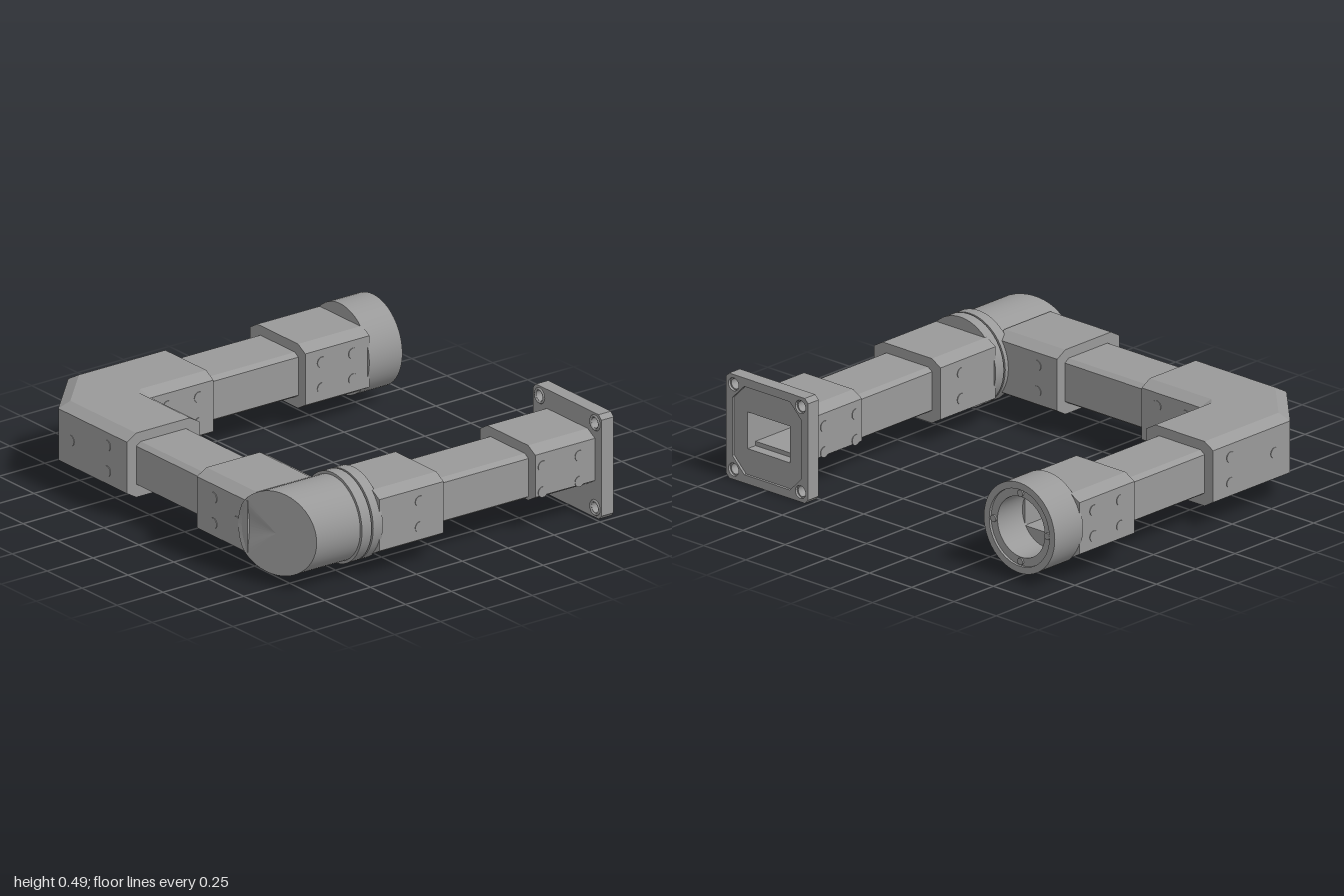
import * as THREE from 'three';
import { toCreasedNormals } from 'three/addons/utils/BufferGeometryUtils.js';

const CY = 0.25; // height of the duct centreline

export function createModel() {
  const model = new THREE.Group();
  model.name = 'waveguideAssembly';
  const grey = new THREE.MeshStandardMaterial({ color: 0x999999 });
  grey.name = 'grey metal';

  const add = (name, geo, x = 0, y = 0, z = 0) => {
    const m = new THREE.Mesh(geo, grey);
    m.name = name;
    m.position.set(x, y, z);
    model.add(m);
    return m;
  };

  // closed path from a list of corner points
  const trace = (path, pts) => {
    pts.forEach(([x, y], i) => (i ? path.lineTo(x, y) : path.moveTo(x, y)));
    path.closePath();
    return path;
  };
  const chamferRect = (w, h, cx, cy) => {
    const a = w / 2, b = h / 2;
    return [[-a + cx, -b], [a - cx, -b], [a, -b + cy], [a, b - cy],
      [a - cx, b], [-a + cx, b], [-a, b - cy], [-a, -b + cy]];
  };
  const boreRect = (w, h, dy = 0) => trace(new THREE.Path(),
    [[-w / 2, -h / 2 + dy], [-w / 2, h / 2 + dy], [w / 2, h / 2 + dy], [w / 2, -h / 2 + dy]]);

  // hollow chamfered duct along z, from 0 to len
  const duct = (w, h, len, cx, cy, dy = 0) => {
    const s = trace(new THREE.Shape(), chamferRect(w, h, cx, cy));
    s.holes.push(boreRect(0.25, 0.14, dy));
    return new THREE.ExtrudeGeometry(s, { depth: len, bevelEnabled: false });
  };
  const tube = len => duct(0.295, 0.21, len, 0.024, 0.016);
  const sleeve = len => duct(0.395, 0.3, len, 0.052, 0.03);

  // left arm
  const LX = -0.792, RX = 0.747;
  add('leftSleeve', sleeve(0.35), LX, CY, -0.71);
  add('leftTube', tube(0.5), LX, CY, -0.36);

  // round end connector with a stepped bore
  const ring = [[0.14, 0], [0.21, 0], [0.21, 0.18], [0.178, 0.18], [0.178, 0.168],
    [0.14, 0.168], [0.14, 0]].map(p => new THREE.Vector2(...p));
  const collar = new THREE.LatheGeometry(ring, 48);
  collar.rotateX(-Math.PI / 2);
  add('roundConnector', toCreasedNormals(collar, 0.6), LX, CY, -0.7);
  for (let i = 0; i < 4; i++) {
    const pin = new THREE.CylinderGeometry(0.016, 0.016, 0.012, 12);
    pin.rotateX(Math.PI / 2);
    const a = i * Math.PI / 2;
    add('connectorPin', pin, LX + 0.159 * Math.cos(a), CY + 0.159 * Math.sin(a), -0.87);
  }

  // mitred elbow: sections run from outer wall to inner wall
  const sections = [
    { out: [-0.99, 0.14], inn: [-0.595, 0.14] },
    { out: [-0.99, 0.63], inn: [-0.595, 0.48] },
    { out: [-0.74, 0.875], inn: [-0.595, 0.48] },
    { out: [-0.25, 0.875], inn: [-0.25, 0.48] },
  ];
  const rows = sections.map(({ out, inn }) => chamferRect(1, 0.3, 0.13, 0.03).map(([u, y]) => [
    THREE.MathUtils.lerp(out[0], inn[0], u + 0.5), CY + y,
    THREE.MathUtils.lerp(out[1], inn[1], u + 0.5)]));
  const pos = [];
  const tri = (...p) => p.forEach(v => pos.push(...v));
  for (let i = 0; i < rows.length - 1; i++) {
    for (let k = 0; k < 8; k++) {
      const n = (k + 1) % 8, A = rows[i], B = rows[i + 1];
      tri(A[k], A[n], B[n]);
      tri(A[k], B[n], B[k]);
    }
  }
  for (let k = 1; k < 7; k++) {
    tri(rows[0][0], rows[0][k + 1], rows[0][k]);
    tri(rows[3][0], rows[3][k], rows[3][k + 1]);
  }
  const elbow = new THREE.BufferGeometry();
  elbow.setAttribute('position', new THREE.Float32BufferAttribute(pos, 3));
  elbow.computeVertexNormals();
  add('mitredElbow', elbow);

  // cross duct and the sleeve running into the round joint
  add('crossTube', tube(0.5), -0.25, CY, 0.676).rotation.y = Math.PI / 2;
  add('crossSleeve', sleeve(0.36), 0.25, CY, 0.677).rotation.y = Math.PI / 2;

  // round joint body with a slanted front cut
  const joint = new THREE.CylinderGeometry(0.195, 0.195, 0.46, 48, 1, false, -Math.PI / 2);
  joint.rotateX(Math.PI / 2);
  joint.translate(RX, CY, 0.65);
  const jp = joint.attributes.position;
  for (let i = 0; i < jp.count; i++) {
    if (jp.getZ(i) > 0.65) jp.setZ(i, Math.min(0.88, 0.875 - (jp.getX(i) - 0.6) * 0.368));
  }
  joint.computeVertexNormals();
  add('jointBody', joint);
  for (const z of [0.425, 0.486]) {
    const disc = new THREE.CylinderGeometry(0.208, 0.208, 0.052, 48);
    disc.rotateX(Math.PI / 2);
    add('jointFlange', disc, RX, CY, z);
  }

  // right arm
  add('rightSleeve', sleeve(0.35), RX, CY, 0.06);
  add('rightTube', tube(0.5), RX, CY, -0.44);
  add('flangeSleeve', duct(0.395, 0.257, 0.33, 0.052, 0.03, -0.0215), RX, 0.2715, -0.77);

  // square flange with bolt holes, rectangular port and raised rim
  const circle = (x, y, r) => new THREE.Path().absarc(x, y, r, 0, Math.PI * 2, true);
  const corners = [[-1, -1], [1, -1], [1, 1], [-1, 1]];
  const plate = trace(new THREE.Shape(), chamferRect(0.488, 0.488, 0.02, 0.02));
  plate.holes.push(boreRect(0.25, 0.17));
  corners.forEach(([a, b]) => plate.holes.push(circle(a * 0.198, b * 0.198, 0.024)));
  add('squareFlange', new THREE.ExtrudeGeometry(plate,
    { depth: 0.055, bevelEnabled: false, curveSegments: 20 }), RX, 0.245, -0.82);
  const rim = trace(new THREE.Shape(), chamferRect(0.488, 0.488, 0.02, 0.02));
  rim.holes.push(trace(new THREE.Path(), chamferRect(0.41, 0.41, 0.07, 0.07).reverse()));
  corners.forEach(([a, b]) => rim.holes.push(circle(a * 0.198, b * 0.198, 0.03)));
  add('flangeRim', new THREE.ExtrudeGeometry(rim,
    { depth: 0.012, bevelEnabled: false, curveSegments: 20 }), RX, 0.245, -0.832);
  for (const [a, b] of corners) {
    add('boltSeat', new THREE.TorusGeometry(0.031, 0.006, 6, 24),
      RX + a * 0.198, 0.245 + b * 0.198, -0.765);
  }

  // flush screw heads on the sleeve faces
  const screw = (axis, x, y, z, r = 0.025) => {
    const g = new THREE.CylinderGeometry(r, r, 0.006, 20);
    if (axis === 'x') g.rotateZ(Math.PI / 2);
    else g.rotateX(Math.PI / 2);
    add('screw', g, x, y, z);
  };
  for (const y of [0.19, 0.31]) {
    for (const x of [-0.39, 0.37]) screw('z', x, y, 0.875);
    for (const x of [-0.34, -0.51, 0.37]) screw('z', x, y, 0.48);
    for (const z of [0.22, 0.39]) screw('x', -0.595, y, z);
    screw('x', -0.99, y, 0.25);
    for (const z of [-0.45, -0.62]) for (const s of [-1, 1]) screw('x', LX + s * 0.1975, y, z);
    for (const z of [0.19, -0.48, -0.68]) for (const s of [-1, 1]) screw('x', RX + s * 0.1975, y, z);
  }
  screw('z', -0.65, CY, 0.875);
  screw('z', 0.535, CY, 0.875);
  screw('x', -0.99, CY, 0.53);

  return model;
}
